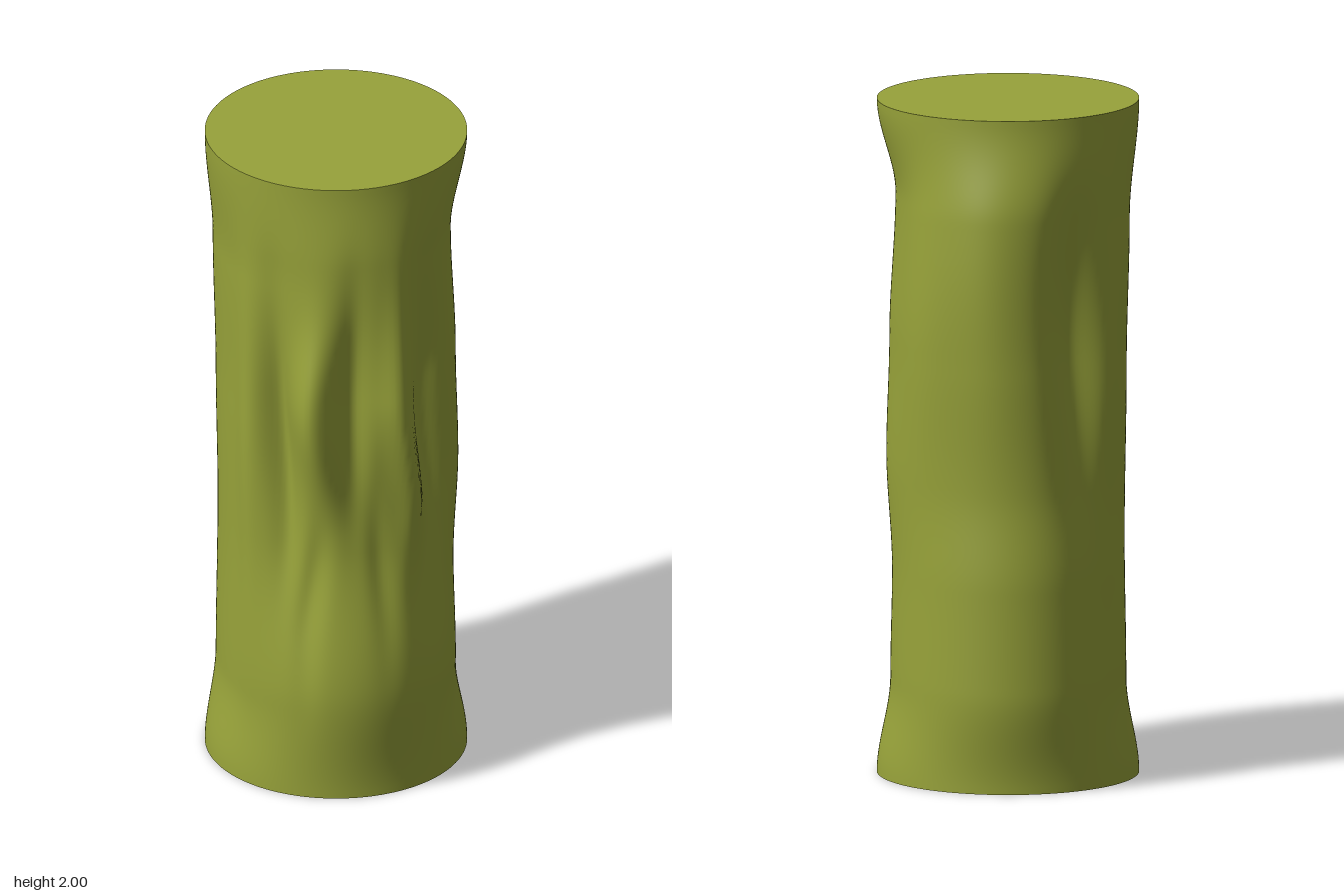
import * as THREE from 'three';
import { mergeVertices } from 'three/addons/utils/BufferGeometryUtils.js';

const HEIGHT = 2, END_RADIUS = 0.383;

// Smooth value through [y, value] pairs, sorted by y
function along(points, y) {
  if (y <= points[0][0]) return points[0][1];
  for (let i = 1; i < points.length; i++) {
    const [y0, v0] = points[i - 1], [y1, v1] = points[i];
    if (y <= y1) return v0 + (v1 - v0) * THREE.MathUtils.smoothstep(y, y0, y1);
  }
  return points[points.length - 1][1];
}

// Trunk radius up the log on its four sides
const left = [[0, END_RADIUS], [0.28, 0.343], [0.6, 0.338], [0.95, 0.355], [1.3, 0.346], [1.72, 0.328], [2, END_RADIUS]];
const right = [[0, END_RADIUS], [0.28, 0.345], [0.7, 0.34], [1.2, 0.346], [1.65, 0.355], [2, END_RADIUS]];
const front = [[0, END_RADIUS], [0.35, 0.417], [0.8, 0.38], [1.3, 0.39], [1.75, 0.4], [2, END_RADIUS]];
const back = [[0, END_RADIUS], [0.3, 0.418], [0.6, 0.417], [0.88, 0.4], [1.25, 0.412], [1.7, 0.418], [2, END_RADIUS]];

// Ridges (+) and hollows (-): path of angle up the log, centre, spread, width, depth
const folds = [
  // front
  { path: [[0.9, -19], [1.3, -24], [1.6, -21]], y: 1.26, spread: 0.23, width: 9, depth: 0.075 },
  { path: [[0.8, -38], [1.3, -43]], y: 1.12, spread: 0.36, width: 8, depth: -0.06 },
  { path: [[0.8, -59], [1.3, -59]], y: 1.05, spread: 0.45, width: 8, depth: 0.02 },
  { path: [[0.8, -5], [1.3, -6]], y: 1.3, spread: 0.28, width: 6, depth: -0.03 },
  { path: [[0.6, 19], [0.9, 22], [1.3, 13], [1.7, 14]], y: 1.2, spread: 0.32, width: 7, depth: 0.047 },
  { path: [[0.6, 37], [0.9, 41], [1.3, 35], [1.7, 31]], y: 1.17, spread: 0.37, width: 11, depth: -0.066 },
  { path: [[0.5, -27], [0.9, -22]], y: 0.65, spread: 0.22, width: 6, depth: -0.022 },
  { path: [[0.5, 8], [1, 4]], y: 0.75, spread: 0.22, width: 5, depth: -0.012 },
  // back
  { path: [[0.9, 212], [1.6, 207]], y: 1.35, spread: 0.32, width: 13, depth: -0.065 },
  { path: [[0.9, 228], [1.6, 233]], y: 1.15, spread: 0.35, width: 9, depth: 0.012 },
  { path: [[0.3, 218], [1.7, 218]], y: 0.9, spread: 0.9, width: 20, depth: -0.01 },
  { path: [[0.9, 174], [1.6, 168]], y: 1.48, spread: 0.3, width: 15, depth: 0.02 },
  { path: [[0.9, 136], [1.6, 140]], y: 1.4, spread: 0.35, width: 18, depth: 0.022 },
];

function barkRadius(angle, y) {
  const s = Math.sin(angle), c = Math.cos(angle);
  const r = s * s * along(s > 0 ? left : right, y) + c * c * along(c > 0 ? front : back, y);
  const degrees = THREE.MathUtils.radToDeg(angle);
  let bump = 0;
  for (const f of folds) {
    let d = degrees - along(f.path, y);
    d -= 360 * Math.round(d / 360);
    bump += f.depth * Math.exp(-((d / f.width) ** 2) - ((y - f.y) / f.spread) ** 2 / 1.4);
  }
  // Folds vanish towards the round sawn ends
  const fade = THREE.MathUtils.smoothstep(Math.min(y, HEIGHT - y), 0, 0.3);
  return r + bump * fade;
}

export function createModel() {
  const log = new THREE.Group();
  log.name = 'log';
  const wood = new THREE.MeshStandardMaterial({ color: 0x98a33a });
  wood.name = 'olive wood';

  // Bark: a tube pushed in and out, welded so that the shading is seamless
  let geometry = new THREE.CylinderGeometry(1, 1, HEIGHT, 180, 100, true);
  geometry.translate(0, HEIGHT / 2, 0);
  const p = geometry.attributes.position;
  for (let i = 0; i < p.count; i++) {
    const angle = Math.atan2(p.getX(i), p.getZ(i)), y = p.getY(i);
    const r = barkRadius(angle, y);
    p.setXYZ(i, r * Math.sin(angle), y, r * Math.cos(angle));
  }
  geometry.deleteAttribute('uv');
  geometry.deleteAttribute('normal');
  geometry = mergeVertices(geometry, 1e-5);
  geometry.computeVertexNormals();
  const bark = new THREE.Mesh(geometry, wood);
  bark.name = 'bark';
  log.add(bark);

  // Sawn ends
  for (const [name, y, tilt] of [['topEnd', HEIGHT, -Math.PI / 2], ['bottomEnd', 0, Math.PI / 2]]) {
    const end = new THREE.Mesh(new THREE.CircleGeometry(END_RADIUS, 180), wood);
    end.name = name;
    end.position.y = y;
    end.rotation.x = tilt;
    log.add(end);
  }
  return log;
}
